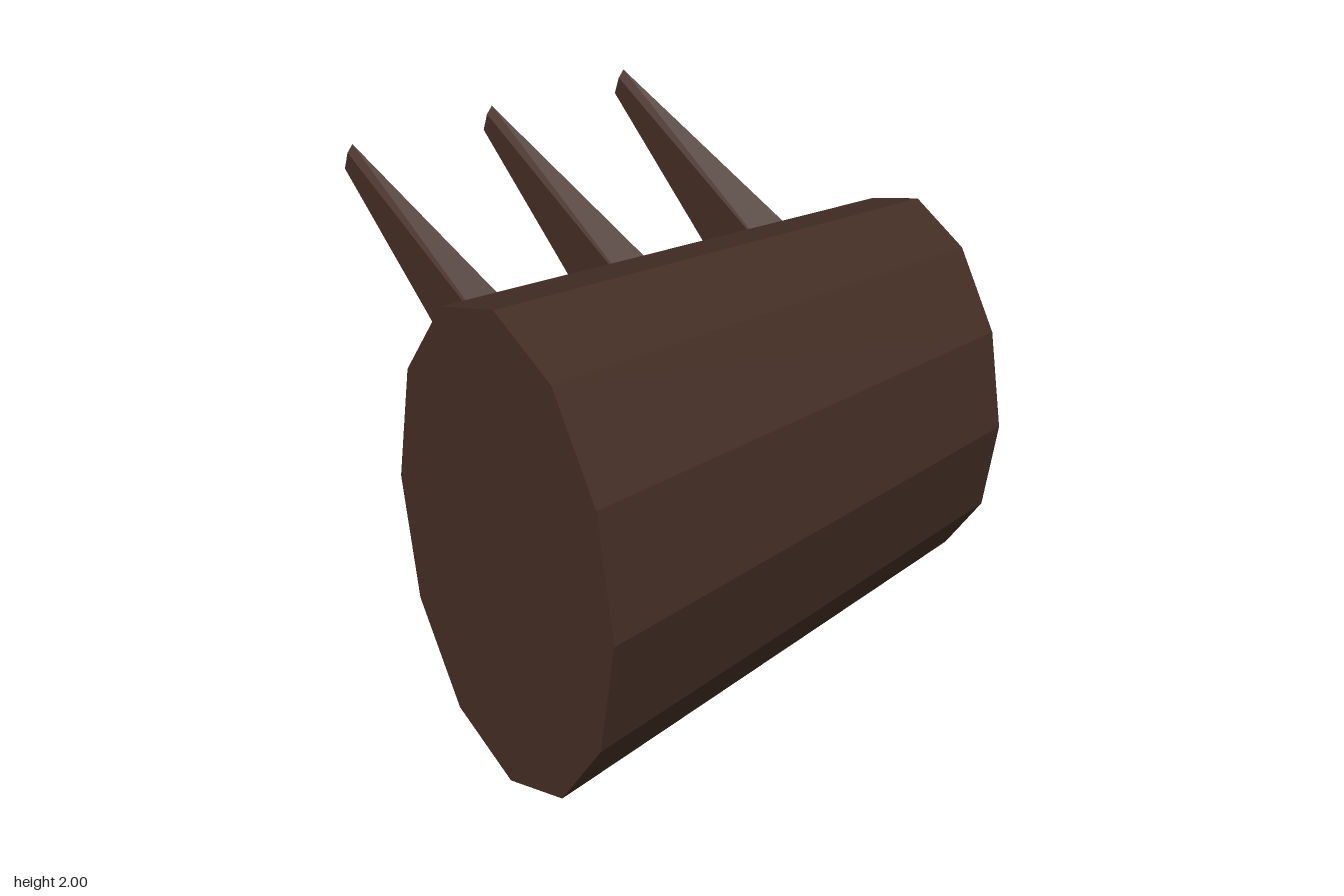
import * as THREE from 'three';

// Closed, faceted solid between two rings; rings run counter-clockwise seen from the end ring
function loft(start, end) {
  const n = start.length, pos = [];
  const tri = (...pts) => pts.forEach((p) => pos.push(p.x, p.y, p.z));
  for (let i = 0; i < n; i++) {
    const j = (i + 1) % n;
    tri(start[i], start[j], end[j]);
    tri(start[i], end[j], end[i]);
  }
  for (let i = 1; i < n - 1; i++) {
    tri(end[0], end[i], end[i + 1]);
    tri(start[0], start[i + 1], start[i]);
  }
  const geometry = new THREE.BufferGeometry();
  geometry.setAttribute('position', new THREE.Float32BufferAttribute(pos, 3));
  geometry.computeVertexNormals();
  return geometry;
}

// Ring of points: center + u * cos + v * sin
function ring(sides, center, u, v) {
  return Array.from({ length: sides }, (_, i) => {
    const a = (i / sides) * Math.PI * 2;
    return new THREE.Vector3(...center)
      .addScaledVector(new THREE.Vector3(...u), Math.cos(a))
      .addScaledVector(new THREE.Vector3(...v), Math.sin(a));
  });
}

export function createModel() {
  const model = new THREE.Group();
  const darkBrown = new THREE.MeshStandardMaterial({ color: 0x462f26 });
  darkBrown.name = 'darkBrown';
  darkBrown.flatShading = true;

  // Tapered twelve-sided body with slightly tilted ends
  const body = new THREE.Mesh(loft(
    ring(12, [-0.99, 0.97, 0.325], [-0.01, 0, -0.675], [0, 0.965, 0]),
    ring(12, [0.992, 0.97, 0.118], [-0.008, 0, -0.518], [0, 0.742, 0]),
  ), darkBrown);
  body.name = 'body';
  model.add(body);

  // Three flattened five-sided spikes sweeping up and back
  const spikeGeometry = loft(
    ring(5, [0.142, 1.336, -0.064], [0.104, -0.02, -0.01], [0, -0.254, -0.172]),
    ring(5, [0, 1.94, -0.978], [0.02, 0.005, -0.008], [0, -0.063, -0.024]),
  );
  [-0.795, -0.2, 0.395].forEach((x, i) => {
    const spike = new THREE.Mesh(spikeGeometry, darkBrown);
    spike.name = `spike${i + 1}`;
    spike.position.x = x;
    model.add(spike);
  });

  return model;
}
